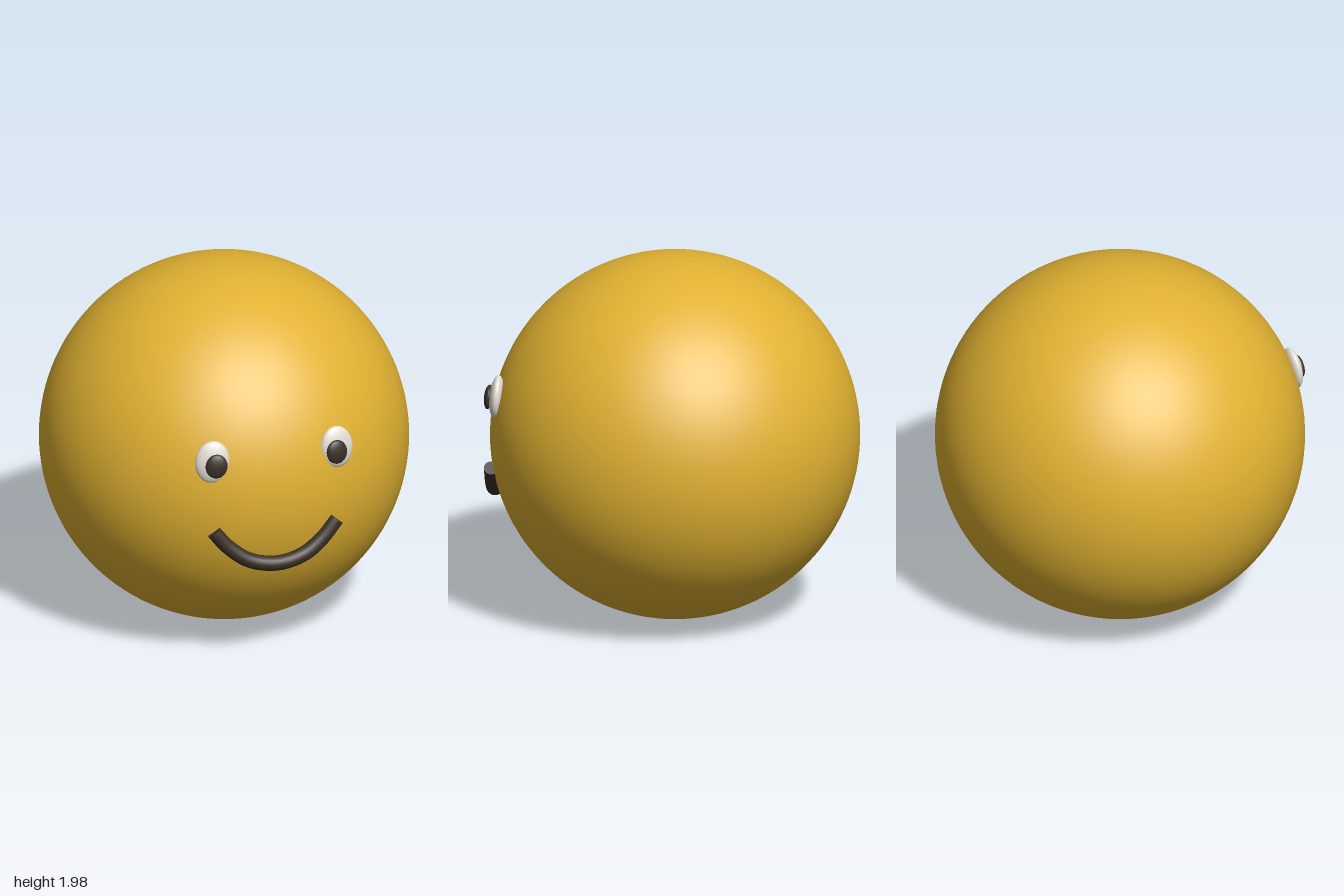
import * as THREE from 'three';

export function createModel() {
  const yellow = new THREE.MeshStandardMaterial({ color: 0xe0b131 });
  const white = new THREE.MeshStandardMaterial({ color: 0xe4ded5 });
  const dark = new THREE.MeshStandardMaterial({ color: 0x3a3026 });
  const model = new THREE.Group();
  const R = 0.988;

  const add = (name, geometry, material, position = [0, 0, 0], rotation = [0, 0, 0], scale = [1, 1, 1]) => {
    const mesh = new THREE.Mesh(geometry, material);
    mesh.name = name;
    mesh.position.set(...position);
    mesh.rotation.set(...rotation);
    mesh.scale.set(...scale);
    model.add(mesh);
    return mesh;
  };

  // Round head
  add('head', new THREE.SphereGeometry(R, 96, 64), yellow, [0, R, -0.012]);

  // Flattened eyes lying on the head, each with a smaller pupil in front
  const ball = new THREE.SphereGeometry(1, 40, 28);
  const eyes = [
    { side: 'right', eye: [-0.275, 1.24, 0.908], pupil: [-0.262, 1.23, 0.952], turn: [-0.1, -0.1, -0.12] },
    { side: 'left', eye: [0.418, 1.24, 0.855], pupil: [0.408, 1.23, 0.903], turn: [-0.1, 0.22, 0.12] },
  ];
  for (const { side, eye, pupil, turn } of eyes) {
    add(side + 'Eye', ball, white, eye, turn, [0.092, 0.116, 0.038]);
    add(side + 'Pupil', ball, dark, pupil, turn, [0.059, 0.066, 0.024]);
  }

  // Smile: a round tube following the head, with flat ends
  const path = new THREE.CatmullRomCurve3([
    [-0.27, 0.84, 0.925], [-0.19, 0.745, 0.935], [-0.08, 0.667, 0.948], [0.07, 0.638, 0.952],
    [0.22, 0.667, 0.93], [0.32, 0.735, 0.908], [0.41, 0.836, 0.886],
  ].map((p) => new THREE.Vector3(...p)));
  const radius = 0.041;
  add('smile', new THREE.TubeGeometry(path, 64, radius, 20), dark);
  for (const [name, t, dir] of [['smileRightEnd', 0, -1], ['smileLeftEnd', 1, 1]]) {
    const cap = add(name, new THREE.CircleGeometry(radius, 20), dark, path.getPoint(t).toArray());
    cap.quaternion.setFromUnitVectors(new THREE.Vector3(0, 0, 1), path.getTangent(t).multiplyScalar(dir));
  }

  return model;
}
